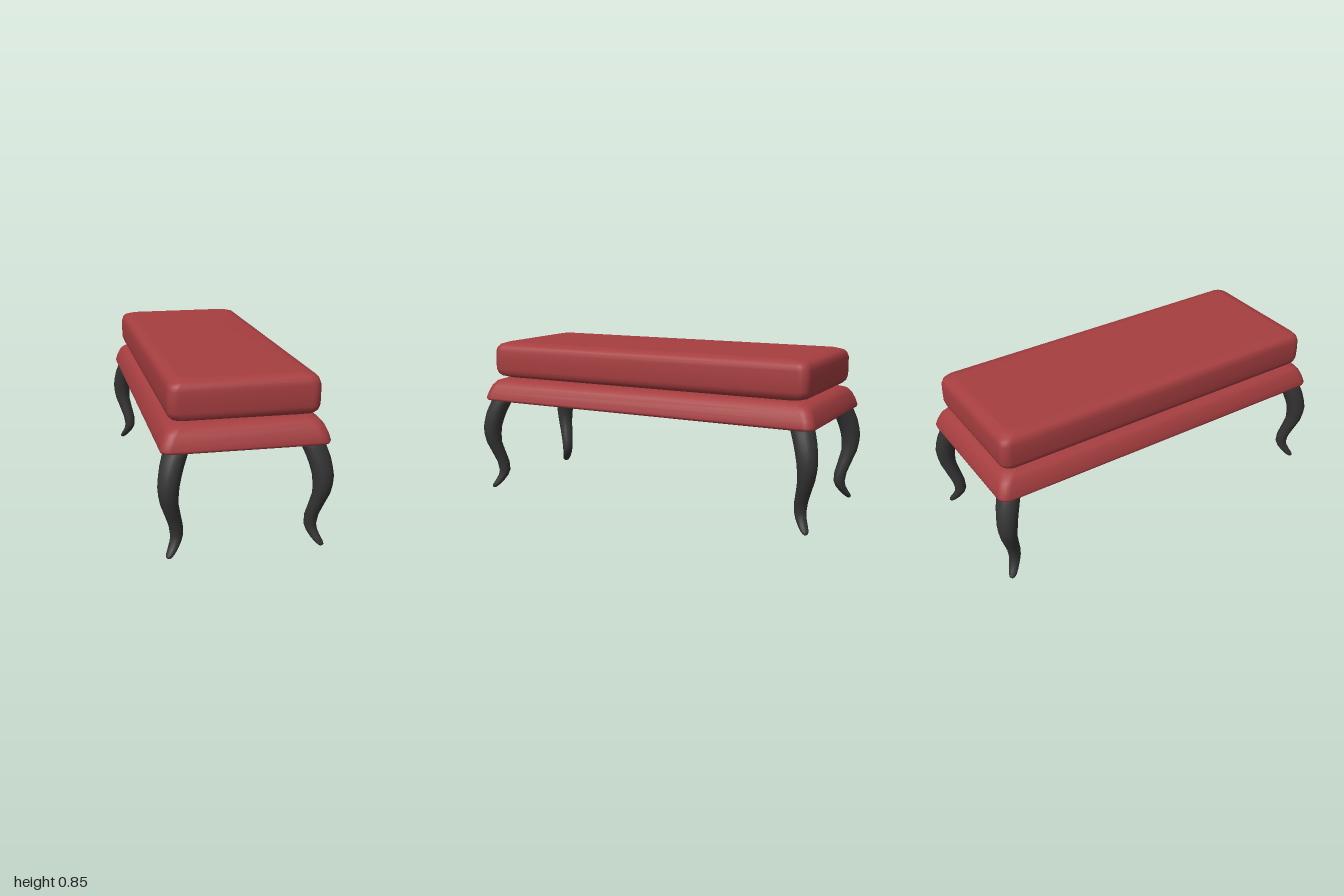
import * as THREE from 'three';

// Smooth closed skin over horizontal rings, listed from bottom to top
function loft(rings) {
  const n = rings[0].length, pos = [], idx = [];
  rings.forEach(r => r.forEach(p => pos.push(...p)));
  for (let k = 0; k < rings.length - 1; k++) {
    for (let i = 0; i < n; i++) {
      const a = k * n + i, b = k * n + (i + 1) % n;
      idx.push(a, a + n, b, b, a + n, b + n);
    }
  }
  // End caps
  const addCap = (ring, start, top) => {
    const c = pos.length / 3;
    const mid = [0, 1, 2].map(d => ring.reduce((s, p) => s + p[d], 0) / n);
    pos.push(...mid);
    for (let i = 0; i < n; i++) {
      const a = start + i, b = start + (i + 1) % n;
      if (top) idx.push(c, b, a); else idx.push(c, a, b);
    }
  };
  addCap(rings[0], 0, false);
  addCap(rings[rings.length - 1], (rings.length - 1) * n, true);
  const g = new THREE.BufferGeometry();
  g.setAttribute('position', new THREE.Float32BufferAttribute(pos, 3));
  g.setIndex(idx);
  g.computeVertexNormals();
  return g;
}

// Rounded rectangle ring at height y
function rectRing(y, hx, hz, r, steps = 5) {
  const pts = [];
  [[1, 1], [-1, 1], [-1, -1], [1, -1]].forEach(([sx, sz], q) => {
    for (let i = 0; i <= steps; i++) {
      const a = (q + i / steps) * Math.PI / 2;
      pts.push([sx * (hx - r) + r * Math.cos(a), y, sz * (hz - r) + r * Math.sin(a)]);
    }
  });
  return pts;
}

// Circular ring at height y
function circleRing(y, cx, cz, r, n = 16) {
  return Array.from({ length: n }, (_, i) => {
    const a = i / n * Math.PI * 2;
    return [cx + r * Math.cos(a), y, cz + r * Math.sin(a)];
  });
}

export function createModel() {
  const model = new THREE.Group();
  const red = new THREE.MeshStandardMaterial({ color: 0xa63e40 });
  red.name = 'red upholstery';
  const black = new THREE.MeshStandardMaterial({ color: 0x343434 });
  black.name = 'black wood';

  const add = (name, geometry, material) => {
    const mesh = new THREE.Mesh(geometry, material);
    mesh.name = name;
    model.add(mesh);
  };

  // Cushions: [height, half width], the length follows the width
  const cushion = (name, profile, extra) =>
    add(name, loft(profile.map(([y, hx]) => rectRing(y, hx, hx + extra, 0.05))), red);

  cushion('seatCushion', [
    [0.645, 0.295], [0.648, 0.312], [0.659, 0.345], [0.673, 0.358], [0.697, 0.365],
    [0.75, 0.366], [0.798, 0.365], [0.822, 0.358], [0.837, 0.345], [0.848, 0.312], [0.85, 0.295],
  ], 0.568);

  cushion('seatBase', [
    [0.516, 0.375], [0.517, 0.392], [0.522, 0.404], [0.533, 0.407], [0.565, 0.398],
    [0.603, 0.382], [0.628, 0.361], [0.639, 0.328], [0.642, 0.305],
  ], 0.573);

  // Curved legs: [height, centre, radius], bowing along the diagonals
  const legProfile = [
    [0, 0.372, 0.008], [0.006, 0.371, 0.015], [0.018, 0.364, 0.021], [0.04, 0.35, 0.025],
    [0.07, 0.335, 0.028], [0.1, 0.328, 0.031], [0.15, 0.333, 0.034], [0.21, 0.35, 0.038],
    [0.27, 0.367, 0.043], [0.315, 0.371, 0.048], [0.36, 0.371, 0.052], [0.405, 0.363, 0.055],
    [0.45, 0.352, 0.058], [0.5, 0.334, 0.06], [0.55, 0.314, 0.062],
  ];
  for (const [name, sx, sz] of [
    ['frontLeftLeg', 1, 1], ['frontRightLeg', -1, 1],
    ['backLeftLeg', 1, -1], ['backRightLeg', -1, -1],
  ]) {
    const rings = legProfile.map(([y, c, r]) => circleRing(y, sx * c, sz * (c + 0.576), r));
    add(name, loft(rings), black);
  }
  return model;
}
